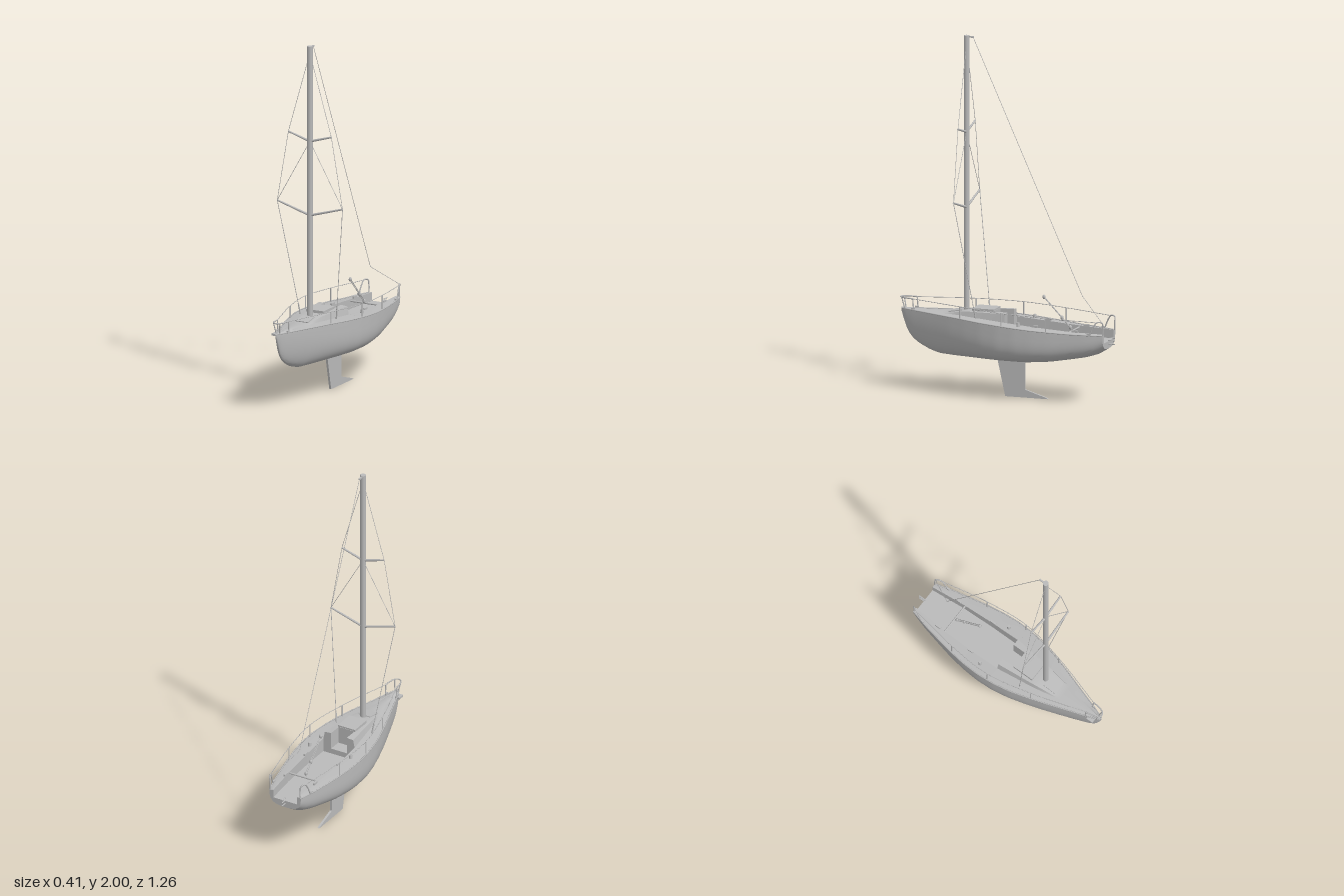
import * as THREE from 'three';
import { toCreasedNormals } from 'three/addons/utils/BufferGeometryUtils.js';

const grey = new THREE.MeshStandardMaterial({ color: 0xbababa, side: THREE.DoubleSide });
grey.name = 'light grey';

// Hull tables, bow to stern: [z, value]
const BEAM = [[.62, .002], [.6, .014], [.55, .032], [.5, .048], [.4, .081], [.3, .115], [.2, .145], [.1, .17],
  [0, .185], [-.1, .189], [-.2, .182], [-.3, .167], [-.4, .147], [-.5, .126], [-.595, .1]];
const KEEL_LINE = [[.62, .44], [.605, .39], [.58, .325], [.55, .288], [.51, .26], [.45, .232], [.39, .215], [.3, .212],
  [-.15, .213], [-.28, .224], [-.39, .242], [-.48, .258], [-.55, .28], [-.595, .31]];
const SHEER = [[.62, .45], [.24, .439], [0, .425], [-.2, .41], [-.4, .398], [-.595, .392]];
const FULLNESS = [[.62, 1.7], [.4, 2.3], [.2, 3.2], [0, 4], [-.3, 3.8], [-.595, 3]];
const INNER = [[.62, .001], [.345, .05], [.2, .075], [-.02, .1], [-.2, .1], [-.4, .093], [-.595, .075]];
const ROOF = [[.62, .453], [.345, .449], [.22, .47], [-.02, .475], [-.6, .475]];
const SOLE = .35, SLOT = .05, STERN = -.595, BULKHEAD = -.02;

const V = (x, y, z) => new THREE.Vector3(x, y, z);

function at(table, z) {
  for (let i = 1; i < table.length; i++) {
    const [z0, a] = table[i - 1], [z1, b] = table[i];
    if (z >= z1) return a + (b - a) * (z0 - z) / (z0 - z1);
  }
  return table[table.length - 1][1];
}

const range = (from, to, n, power = 1) =>
  Array.from({ length: n + 1 }, (_, i) => from + (to - from) * (i / n) ** power);

// Skin a list of equally long cross-sections
function loft(rows, crease = .6) {
  const n = rows[0].length, index = [];
  for (let i = 0; i < rows.length - 1; i++) {
    for (let j = 0; j < n - 1; j++) {
      const a = i * n + j, c = a + n;
      index.push(a, a + 1, c, a + 1, c + 1, c);
    }
  }
  const geo = new THREE.BufferGeometry().setFromPoints(rows.flat());
  geo.setIndex(index);
  return toCreasedNormals(geo, crease);
}

function hullSection(z) {
  const w = at(BEAM, z), s = at(SHEER, z), k = at(KEEL_LINE, z), p = 2 / at(FULLNESS, z);
  return Array.from({ length: 33 }, (_, j) => {
    const a = Math.PI * j / 32, c = Math.cos(a);
    return V(w * Math.sign(c) * Math.abs(c) ** p, s - (s - k) * Math.max(0, Math.sin(a)) ** p, z);
  });
}

// Mirror a list of [x, y] half points into a full section
const mirrored = (half, z) => [...half.map(([x, y]) => V(-x, y, z)), ...half.slice().reverse().map(([x, y]) => V(x, y, z))];

function cabinSection(z, floor) {
  const c = at(INNER, z), s = at(SHEER, z), top = at(ROOF, z);
  return mirrored([[at(BEAM, z), s], [c, s + .006], [c * .9, top], [Math.min(SLOT, c * .6), top + .003],
    [Math.min(SLOT, c * .6), floor ?? top + .003]], z);
}

function cockpitSection(z) {
  const c = at(INNER, z), s = at(SHEER, z);
  return mirrored([[at(BEAM, z), s], [c + .008, s + .006], [c, s + .006], [c, SOLE]], z);
}

export function createModel() {
  const boat = new THREE.Group();
  boat.name = 'sailboat';

  const add = (name, geo, x = 0, y = 0, z = 0) => {
    const mesh = new THREE.Mesh(geo, grey);
    mesh.name = name;
    mesh.position.set(x, y, z);
    boat.add(mesh);
    return mesh;
  };
  const box = (name, w, h, d, x, y, z) => add(name, new THREE.BoxGeometry(w, h, d), x, y, z);
  const rod = (name, a, b, r, r2 = r) => {
    const mesh = add(name, new THREE.CylinderGeometry(r2, r, a.distanceTo(b), 10));
    mesh.position.copy(a).lerp(b, .5);
    mesh.quaternion.setFromUnitVectors(V(0, 1, 0), b.clone().sub(a).normalize());
    return mesh;
  };
  const tube = (name, points, r, steps = 40) =>
    add(name, new THREE.TubeGeometry(new THREE.CatmullRomCurve3(points), steps, r, 6));
  const panel = (name, points, z) =>
    add(name, new THREE.ShapeGeometry(new THREE.Shape(points)).rotateY(Math.PI), 0, 0, z);

  // Hull, deck, cabin and open cockpit
  add('hull', loft(range(.62, STERN, 60, 1.3).map(hullSection), 1));
  add('cabinAndForedeck', loft([...range(.62, .345, 12), ...range(.32, .06, 10)].map(z => cabinSection(z))));
  add('companionway', loft([.06, BULKHEAD].map(z => cabinSection(z, .38))));
  add('cockpit', loft(range(BULKHEAD, STERN, 24).map(cockpitSection)));

  const notch = at(INNER, STERN);
  panel('transom', [...hullSection(STERN).map(p => new THREE.Vector2(p.x, p.y)),
    new THREE.Vector2(-notch, .396), new THREE.Vector2(-notch, SOLE),
    new THREE.Vector2(notch, SOLE), new THREE.Vector2(notch, .396)], STERN);
  const bulkhead = [[.1, SOLE], [.1, .43], [.09, .475], [SLOT, .478], [SLOT, .38]];
  panel('bulkhead', mirrored(bulkhead, 0).map(p => new THREE.Vector2(p.x, p.y)), BULKHEAD);
  box('companionwayWall', SLOT * 2, .1, .006, 0, .43, .06);

  // Hatches and bow fitting
  box('slidingHatch', .11, .018, .125, 0, .48, .122);
  box('foreHatch', .075, .008, .08, 0, .462, .29).rotation.x = .17;
  box('bowFitting', .03, .012, .04, -.03, .44, .57);

  // Fin keel with trailing foot
  const fin = new THREE.Shape([[.06, .225], [.01, 0], [-.24, 0], [-.225, .008], [-.105, .045], [-.105, .225]]
    .map(p => new THREE.Vector2(...p)));
  add('finKeel', new THREE.ExtrudeGeometry(fin, { depth: .012, bevelEnabled: false }).rotateY(-Math.PI / 2), .006);

  // Mast and masthead crane
  rod('mast', V(0, .45, .238), V(0, 2, .238), .016);
  box('mastheadCrane', .008, .008, .04, 0, 1.993, .215);

  // Backstay
  rod('backstay', V(0, 1.993, .2), V(0, .59, -.44), .0015);
  rod('backstayLeg', V(0, .59, -.44), V(.1, .465, -.595), .0015);

  // Rigging, rails and fittings on both sides
  for (const s of [-1, 1]) {
    const upper = V(s * .135, 1.5, .238), lower = V(s * .205, 1.1, .238), plate = V(s * .113, .445, .143);
    rod('upperSpreader', V(0, 1.46, .238), upper, .007, .005);
    rod('lowerSpreader', V(0, 1.04, .238), lower, .007, .005);
    rod('topShroud', V(0, 1.96, .238), upper, .0015);
    rod('middleShroud', upper, lower, .0015);
    rod('diagonalShroud', V(0, 1.46, .238), lower, .0015);
    rod('lowerShroud', lower, plate, .0018);
    rod('turnbuckle', plate, plate.clone().lerp(lower, .09), .004);

    tube('toeRail', range(.615, STERN, 24).map(z => V(s * at(BEAM, z), at(SHEER, z) + .002, z)), .0035, 60);

    // Lifeline on stanchions
    const side = z => s * (at(BEAM, z) - .008);
    const line = [V(s * .035, .512, .54), V(side(.23), .507, .23), V(side(-.03), .497, -.03),
      V(side(-.285), .484, -.285), V(s * .113, .47, -.555)];
    tube('lifeline', line, .002);
    for (const p of line.slice(1, 4)) rod('stanchion', V(p.x, at(SHEER, p.z), p.z), p, .0035);
    rod('pulpitRearPost', V(s * .035, .448, .535), line[0], .0035);
    rod('pulpitFrontPost', V(s * .01, .448, .595), V(s * .02, .514, .61), .0035);
    tube('sternRail', [V(s * .12, .395, -.525), V(s * .115, .45, -.55), V(s * .111, .47, -.565),
      V(s * .1, .468, -.592), V(s * .095, .44, -.594), V(s * .095, .392, -.594)], .004);

    // Winch, cleats and stern blocks
    add('winch', new THREE.CylinderGeometry(.008, .011, .024, 16), s * .131, .43, -.113);
    for (const z of [-.2, -.43]) box('cleat', .01, .014, .035, s * (at(INNER, z) + .003), at(SHEER, z) + .01, z);
    box('sternBlock', .01, .012, .02, s * .118, .4, -.52);
    box('bowCleat', .008, .012, .02, s * .032, .455, .54);
  }

  // Bow pulpit loop
  tube('pulpit', [V(-.035, .512, .54), V(-.03, .514, .58), V(-.02, .515, .61), V(0, .515, .622),
    V(.02, .515, .61), V(.03, .514, .58), V(.035, .512, .54)], .004);

  // Mainsheet traveller and tackle
  rod('traveller', V(-.094, .395, -.387), V(.094, .395, -.387), .005);
  const sheetFoot = V(0, .4, -.38), sheetHead = V(0, .575, -.21);
  for (const x of [-.004, .004]) rod('mainsheet', sheetFoot.clone().setX(x), sheetHead.clone().setX(x), .002);
  for (const t of [.06, .35, .97]) {
    const p = sheetFoot.clone().lerp(sheetHead, t);
    add('sheetBlock', new THREE.SphereGeometry(.009, 12, 8), p.x, p.y, p.z).scale.y = 1.4;
  }

  // Rudder pins on the transom
  for (const y of [.333, .353, .37]) rod('rudderPin', V(0, y, -.59), V(0, y, -.63), .003);

  return boat;
}
